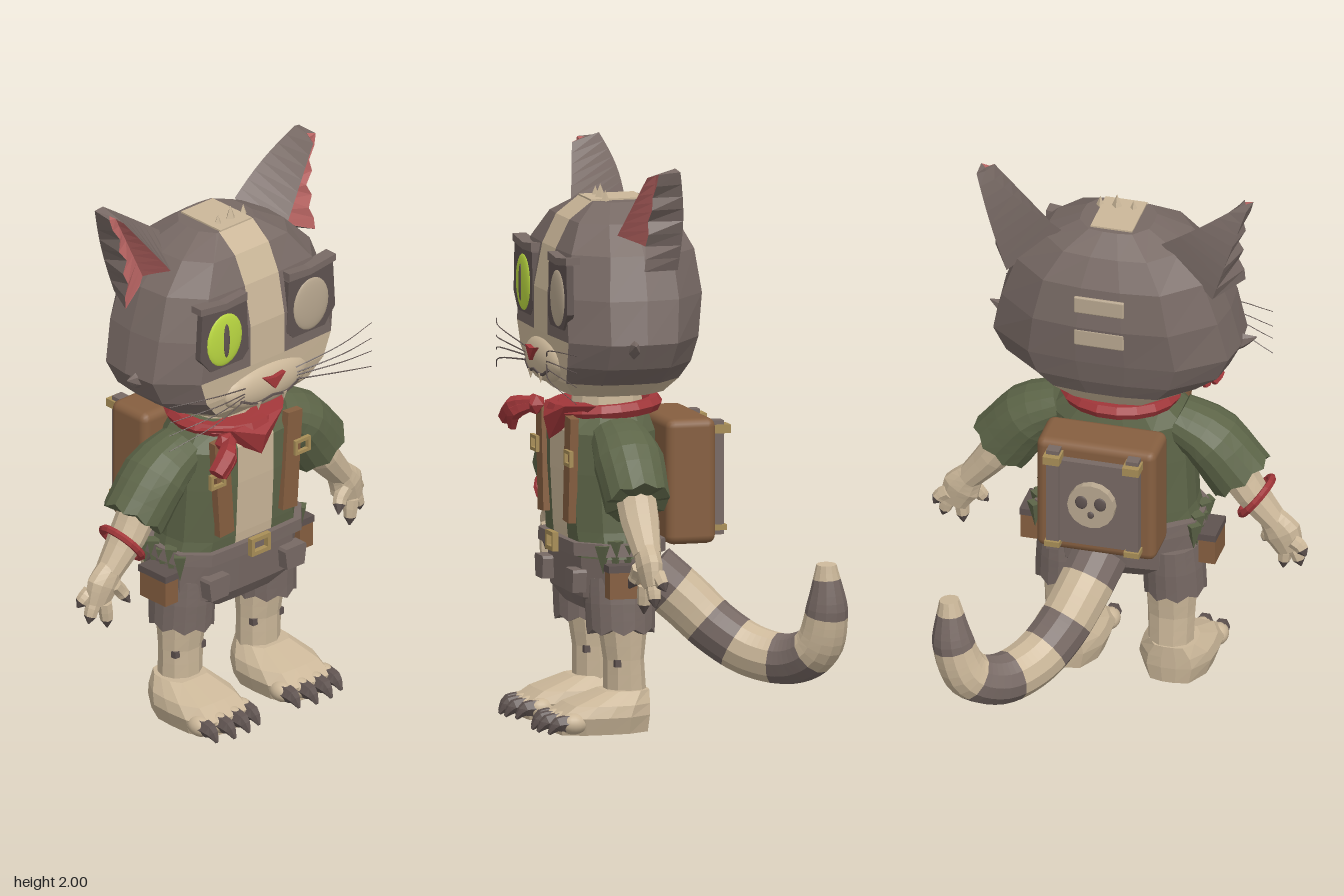
import * as THREE from 'three';
import { RoundedBoxGeometry } from 'three/addons/geometries/RoundedBoxGeometry.js';
import { ConvexGeometry } from 'three/addons/geometries/ConvexGeometry.js';

const V = (x, y, z) => new THREE.Vector3(x, y, z);
const mat = (name, color) => Object.assign(new THREE.MeshStandardMaterial({ color }), { name });

export function createModel() {
  const root = new THREE.Group();
  root.name = 'catAdventurer';
  const cream = mat('creamFur', 0xcbb799), dull = mat('dullCream', 0xb8a78f), grey = mat('greyFur', 0x776964), dark = mat('darkGrey', 0x5f5350);
  const green = mat('greenShirt', 0x5d6548), red = mat('redCloth', 0xa2373a), pink = mat('earPink', 0xbb6664);
  const brown = mat('leather', 0x865f40), gold = mat('brass', 0xa88e57), lime = mat('limeEye', 0xbcda42);

  const add = (name, geo, material, x = 0, y = 0, z = 0, flat = true) => {
    if (flat) {
      if (geo.index) geo = geo.toNonIndexed();
      geo.computeVertexNormals();
    }
    const m = new THREE.Mesh(geo, material);
    m.name = name;
    m.position.set(x, y, z);
    root.add(m);
    return m;
  };
  const box = (name, w, h, d, material, x, y, z) => add(name, new THREE.BoxGeometry(w, h, d), material, x, y, z);
  const ball = (name, rx, ry, rz, material, x, y, z) =>
    add(name, new THREE.SphereGeometry(1, 18, 12).scale(rx, ry, rz), material, x, y, z, false);
  const plate = (name, pts, depth, material, x, y, z) =>
    add(name, new THREE.ExtrudeGeometry(new THREE.Shape(pts.map(p => new THREE.Vector2(...p))),
      { depth, bevelEnabled: false }), material, x, y, z);

  // Skin over closed rings, with a material picked per face by (row, column)
  const loft = (name, rings, pick) => {
    const buckets = new Map();
    const tri = (m, ...p) => {
      if (!buckets.has(m)) buckets.set(m, []);
      p.forEach(v => buckets.get(m).push(v.x, v.y, v.z));
    };
    const n = rings[0].length, last = rings.length - 1;
    const centre = r => r.reduce((a, p) => a.add(p), V(0, 0, 0)).divideScalar(n);
    const c0 = centre(rings[0]), c1 = centre(rings[last]);
    for (let j = 0; j < n; j++) {
      const k = (j + 1) % n;
      for (let i = 0; i < last; i++) {
        const a = rings[i], b = rings[i + 1], m = pick(i, j);
        tri(m, a[j], a[k], b[k]);
        tri(m, a[j], b[k], b[j]);
      }
      tri(pick(0, j), c0, rings[0][k], rings[0][j]);
      tri(pick(last - 1, j), c1, rings[last][j], rings[last][k]);
    }
    const geo = new THREE.BufferGeometry(), pos = [];
    const mats = [...buckets.keys()];
    mats.forEach((m, i) => {
      geo.addGroup(pos.length / 3, buckets.get(m).length / 3, i);
      pos.push(...buckets.get(m));
    });
    geo.setAttribute('position', new THREE.Float32BufferAttribute(pos, 3));
    return add(name, geo, mats.length > 1 ? mats : mats[0]);
  };

  // Limb along a curve; radii are numbers or [depth, width]; rag makes a torn end
  const sweep = (name, pts, radii, pick, { rows = 6, sides = 10, rag = 0 } = {}) => {
    const curve = new THREE.CatmullRomCurve3(pts.map(p => V(...p)));
    const f = curve.computeFrenetFrames(rows);
    const rings = [];
    for (let i = 0; i <= rows; i++) {
      const t = i / rows, u = t * (radii.length - 1), q = Math.min(Math.floor(u), radii.length - 2);
      const [ra, rb] = [0, 1].map(k => THREE.MathUtils.lerp([radii[q]].flat()[k] ?? radii[q],
        [radii[q + 1]].flat()[k] ?? radii[q + 1], u - q));
      const c = curve.getPointAt(t);
      rings.push(Array.from({ length: sides }, (_, j) => {
        const a = j / sides * Math.PI * 2;
        const p = c.clone().addScaledVector(f.normals[i], Math.cos(a) * ra).addScaledVector(f.binormals[i], Math.sin(a) * rb);
        return i === rows && rag ? p.addScaledVector(f.tangents[i], j % 2 ? rag : 0) : p;
      }));
    }
    return loft(name, rings, typeof pick === 'function' ? i => pick((i + 0.5) / rows) : () => pick);
  };

  // Horizontal faceted section; the last column is the flat front strip
  const HALF = [[0.2, 1], [0.7, 0.97], [0.97, 0.5], [1, 0], [0.96, -0.45], [0.6, -0.93], [0.2, -1]];
  const section = ([y, rx, zb, zf], strip = 0, cx = 0) => {
    const r = HALF.map(([x, z], i) => V(i || !strip ? x * rx : strip, y, (zf + zb) / 2 + z * (zf - zb) / 2));
    return [...r, ...r.map(p => V(-p.x, p.y, p.z)).reverse()].map(p => p.setX(p.x + cx));
  };

  // Head with muzzle and forehead stripe
  const headRows = [[1.17, 0.2, 0.04, 0.39], [1.225, 0.31, 0, 0.44], [1.29, 0.395, -0.03, 0.455], [1.38, 0.44, -0.05, 0.46],
    [1.53, 0.405, -0.07, 0.46], [1.68, 0.35, -0.05, 0.43], [1.78, 0.25, 0, 0.38], [1.84, 0.13, 0.08, 0.3]];
  loft('head', headRows.map(r => section(r, 0.08)), (i, j) =>
    (i < 3 && (j === 0 || j >= 12)) || i === 0 || j === 13 ? cream : grey);
  box('crownStripe', 0.15, 0.008, 0.2, cream, 0, 1.842, 0.2);
  [-0.04, 0.02, 0.08].forEach((x, i) =>
    add('hairTuft', new THREE.ConeGeometry(0.022, 0.055, 4), cream, x, 1.85 + (i === 1 ? 0.015 : 0), 0.25));
  [1.62, 1.49].forEach(y => add('backPatch', new RoundedBoxGeometry(0.18, 0.065, 0.014, 2, 0.006), dull, 0, y, -0.063));
  ball('muzzle', 0.2, 0.08, 0.05, cream, 0, 1.285, 0.44);
  plate('nose', [[-0.048, 0.025], [0, -0.025], [0.048, 0.025], [0, 0.018]], 0.02, red, 0, 1.305, 0.482);
  sweep('mouth', [[-0.14, 1.265, 0.472], [-0.07, 1.238, 0.478], [0, 1.25, 0.485], [0.07, 1.238, 0.478], [0.14, 1.265, 0.472]],
    [0.006, 0.006], dark, { rows: 12, sides: 5 });
  [-0.06, 0.06].forEach(x => add('fang', new THREE.ConeGeometry(0.012, 0.035, 5).rotateX(Math.PI), cream, x, 1.225, 0.478));

  for (const s of [1, -1]) {
    // Eyes set flat in their sockets
    const socket = [[0.09, 0.03], [0.1, 0.22], [0.15, 0.25], [0.31, 0.23], [0.32, 0.06], [0.27, 0], [0.12, 0]].map(([x, y]) => [x * s, y]);
    plate('eyeSocket', socket, 0.025, dark, 0, 1.42, 0.436);
    plate('brow', [[0.1, 0], [0.1, 0.03], [0.2, 0.02], [0.32, 0.035], [0.32, 0.01], [0.2, -0.005]].map(([x, y]) => [x * s, y]),
      0.05, grey, 0, 1.645, 0.415);
    ball('eye', 0.085, 0.1, 0.014, s < 0 ? lime : dull, 0.205 * s, 1.525, 0.459);
    if (s < 0) ball('pupil', 0.014, 0.065, 0.005, dark, -0.205, 1.525, 0.472);

    // Cheek tufts and whiskers
    sweep('cheekTuft', [[0.38 * s, 1.365, 0.24], [0.43 * s, 1.37, 0.25], [0.48 * s, 1.385, 0.26]], [[0.05, 0.035], [0.03, 0.02], 0.002], grey, { sides: 6 });
    [[1.31, 1.36], [1.29, 1.3], [1.28, 1.25], [1.265, 1.19]].forEach(([y0, y1]) =>
      sweep('whisker', [[0.12 * s, y0, 0.475], [0.3 * s, (y0 + y1) / 2 + 0.02, 0.518], [0.48 * s, y1, 0.475]],
        [0.003, 0.0015], dark, { rows: 8, sides: 4 }));

    // Ear: two pink hollow faces, grey back faces, torn outer edge
    const base = [[0.235, 1.69, 0.28], [0.32, 1.7, 0.17], [0.45, 1.64, 0.22], [0.37, 1.63, 0.075], [0.18, 1.81, 0.1]];
    const tips = [[0.45, 1.97, 0.21], [0.46, 1.98, 0.18], [0.49, 1.985, 0.18], [0.485, 1.99, 0.1], [0.455, 2, 0.11]];
    const earRings = Array.from({ length: 9 }, (_, i) => base.map((b, k) => {
      const t = i / 8, p = V(...b).lerp(V(...tips[k]), t), bow = Math.sin(t * Math.PI);
      if (k === 2) p.x += (i % 2 ? 0.012 : -0.014) * bow - 0.03 * bow;
      if (k > 2) p.z -= 0.015 * bow;
      return p.setX(p.x * s);
    })).map(r => s > 0 ? r : r.reverse());
    loft('ear', earRings, (i, j) => (s > 0 ? j < 2 : j === 2 || j === 3) ? pink : grey);

    // Arm
    const az = 0.24;
    sweep('sleeve', [[0.2 * s, 1.03, az], [0.32 * s, 0.965, az], [0.425 * s, 0.835, az]],
      [[0.1, 0.08], [0.125, 0.11], [0.115, 0.12]], green, { sides: 16, rag: 0.018 });
    sweep('forearm', [[0.39 * s, 0.88, az], [0.46 * s, 0.77, az], [0.55 * s, 0.66, az]], [[0.075, 0.07], [0.07, 0.06], [0.05, 0.045]], cream);
    sweep('palm', [[0.535 * s, 0.68, az], [0.575 * s, 0.62, az], [0.605 * s, 0.55, az]], [[0.045, 0.045], [0.045, 0.07], [0.03, 0.05]], cream);
    [[0.62, 0.6, 0.22, 0.67, 0.55, 0.21], [0.615, 0.57, 0.24, 0.645, 0.49, 0.24],
      [0.585, 0.56, 0.26, 0.575, 0.46, 0.26], [0.55, 0.62, 0.27, 0.495, 0.54, 0.29]].forEach(([x, y, z, a, b, c]) =>
      sweep('finger', [[x * s, y, z], [(x + a) / 2 * s, (y + b) / 2 + 0.008, z], [a * s, b, c]],
        [0.026, 0.026, 0.023, 0.003], t => t > 0.6 ? dark : cream, { sides: 7 }));

    // Leg, foot and claws
    const lx = 0.185 * s;
    sweep('leg', [[lx, 0.1, 0.21], [lx, 0.22, 0.215], [lx, 0.4, 0.22]], [[0.08, 0.075], [0.085, 0.07], [0.095, 0.09]], cream);
    [-0.056, 0.056].forEach(d => box('legMark', 0.034, 0.025, 0.06, dark, lx + d, 0.24, 0.237));
    const fx = 0.195 * s;
    loft('foot', [[0, 0.115, 0.14, 0.47], [0.06, 0.135, 0.135, 0.48], [0.1, 0.125, 0.135, 0.42], [0.145, 0.085, 0.135, 0.3]]
      .map(r => section(r, 0, fx)), () => cream);
    [-0.1, -0.034, 0.034, 0.1].forEach(d => {
      const z = Math.abs(d) > 0.05 ? -0.02 : 0;
      ball('toe', 0.037, 0.037, 0.05, cream, fx + d, 0.042, 0.45 + z);
      sweep('toeClaw', [[fx + d, 0.045, 0.46 + z], [fx + d, 0.04, 0.51 + z], [fx + d, 0.01, 0.54 + z]], [0.033, 0.028, 0.006], dark, { sides: 6 });
    });

    // Shorts leg, pocket and belt pouch
    sweep('shortsLeg', [[0.19 * s, 0.54, 0.23], [0.192 * s, 0.45, 0.23], [0.195 * s, 0.36, 0.23]],
      [[0.125, 0.1], [0.125, 0.108], [0.12, 0.11]], grey, { sides: 18, rag: 0.02 });
    plate('pocket', [[-0.05, 0.03], [-0.04, -0.04], [0.04, -0.04], [0.05, 0.03], [0.045, 0.04], [-0.045, 0.04]], 0.05, grey, 0.18 * s, 0.53, 0.362);
    box('pouch', 0.06, 0.1, 0.13, brown, 0.32 * s, 0.53, 0.25);
    box('pouchFlap', 0.066, 0.025, 0.14, dark, 0.32 * s, 0.585, 0.25);

    // Shoulder strap with buckle
    box('strap', 0.068, 0.37, 0.03, brown, 0.162 * s, 0.915, 0.4).rotation.z = -0.07 * s;
    for (const d of [-1, 1]) {
      box('strapBuckleBar', 0.07, 0.012, 0.015, gold, 0.2 * s, 0.96 + d * 0.022, 0.42);
      box('strapBuckleSide', 0.012, 0.055, 0.015, gold, (0.2 + d * 0.03) * s, 0.96, 0.42);
    }
  }

  // Torso with an open shirt
  loft('shirt', [[0.61, 0.295, 0.09, 0.38], [0.7, 0.27, 0.08, 0.39], [0.9, 0.26, 0.08, 0.4], [1.04, 0.25, 0.08, 0.4], [1.12, 0.17, 0.1, 0.36]]
    .map(r => section(r, 0.085)), (i, j) => j === 13 ? cream : green);
  for (const s of [1, -1]) for (let i = 0; i < 5; i++)
    add('shirtTatter', new THREE.ConeGeometry(0.03, 0.1 + (i % 2) * 0.03, 4).rotateX(Math.PI), green, 0.285 * s, 0.61, 0.14 + i * 0.045);
  add('neck', new THREE.CylinderGeometry(0.12, 0.13, 0.12, 12), cream, 0, 1.14, 0.22);
  loft('shorts', [[0.42, 0.17, 0.14, 0.34], [0.47, 0.28, 0.1, 0.37], [0.62, 0.285, 0.09, 0.38], [0.66, 0.27, 0.1, 0.38]].map(r => section(r)), () => grey);
  loft('belt', [[0.62, 0.305, 0.05, 0.41], [0.665, 0.3, 0.05, 0.41]].map(r => section(r)), () => grey);
  for (const d of [-1, 1]) {
    box('buckleBar', 0.09, 0.015, 0.02, gold, 0, 0.645 + d * 0.026, 0.42);
    box('buckleSide', 0.015, 0.066, 0.02, gold, d * 0.038, 0.645, 0.42);
  }

  // Neckerchief with a side knot
  add('scarfBand', new THREE.TorusGeometry(0.175, 0.028, 6, 18).rotateX(Math.PI / 2 + 0.07).scale(1.05, 1, 1), red, 0, 1.115, 0.23);
  add('scarfFront', new ConvexGeometry([V(-0.21, 1.12, 0.32), V(0.21, 1.14, 0.32), V(-0.12, 1.12, 0.41), V(0.12, 1.13, 0.41),
    V(0, 1.08, 0.45), V(0, 1, 0.43), V(0, 1.1, 0.3)]), red);
  add('scarfKnot', new THREE.IcosahedronGeometry(0.04), red, -0.17, 1.1, 0.43);
  sweep('scarfTail', [[-0.16, 1.11, 0.44], [-0.22, 1.09, 0.49], [-0.28, 1.04, 0.5]], [0.02, 0.035, 0.03], red, { sides: 6 });
  sweep('scarfTail', [[-0.16, 1.1, 0.44], [-0.21, 1.07, 0.49], [-0.24, 1.01, 0.49]], [0.02, 0.03, 0.015], red, { sides: 6 });

  // Wrist band
  add('wristBand', new THREE.TorusGeometry(0.083, 0.014, 6, 16), red, -0.485, 0.75, 0.24)
    .quaternion.setFromUnitVectors(V(0, 0, 1), V(-0.78, -0.62, 0).normalize());

  // Backpack with rails and a carved disc
  add('backpack', new RoundedBoxGeometry(0.43, 0.44, 0.18, 2, 0.03), brown, 0, 0.86, -0.025, false);
  box('packPanel', 0.26, 0.33, 0.03, grey, 0, 0.86, -0.128);
  for (const s of [1, -1]) {
    box('packRail', 0.045, 0.4, 0.04, grey, 0.143 * s, 0.865, -0.135);
    box('railCap', 0.06, 0.03, 0.065, gold, 0.143 * s, 1.035, -0.145);
    box('railCap', 0.055, 0.02, 0.05, gold, 0.143 * s, 0.69, -0.14);
    ball('discEye', 0.022, 0.026, 0.006, dark, 0.034 * s, 0.885, -0.174);
  }
  add('packDisc', new THREE.CylinderGeometry(0.085, 0.085, 0.03, 16).rotateX(Math.PI / 2), dull, 0, 0.87, -0.158);
  ball('discNose', 0.012, 0.014, 0.006, dark, 0, 0.838, -0.174);

  // Striped tail
  const ends = [0.11, 0.24, 0.38, 0.53, 0.67, 0.82, 0.96, 1];
  sweep('tail', [[0.03, 0.53, 0.07], [0.07, 0.43, -0.04], [0.12, 0.33, -0.14], [0.19, 0.255, -0.25], [0.28, 0.235, -0.36],
    [0.37, 0.285, -0.43], [0.415, 0.4, -0.45], [0.435, 0.585, -0.445]], [0.1, 0.098, 0.095, 0.093, 0.09, 0.085, 0.073, 0.035],
  t => ends.findIndex(e => t < e) % 2 ? cream : grey, { rows: 40, sides: 12 });

  return root;
}
